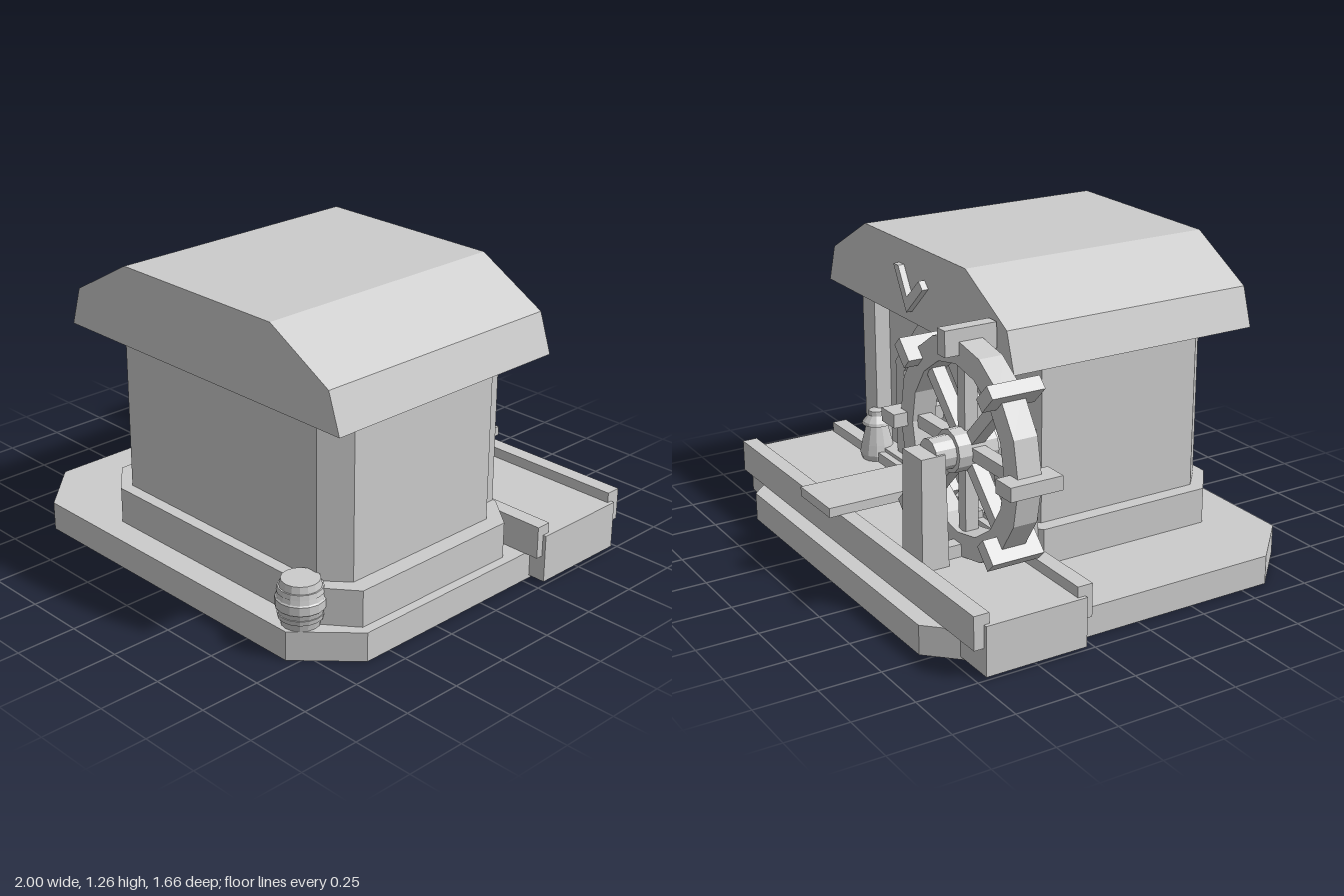
import * as THREE from 'three';

const stone = new THREE.MeshStandardMaterial({ color: 0xcccccc, flatShading: true });
stone.name = 'plain grey';

function add(parent, name, geometry, x = 0, y = 0, z = 0) {
  const mesh = new THREE.Mesh(geometry, stone);
  mesh.name = name;
  mesh.position.set(x, y, z);
  parent.add(mesh);
  return mesh;
}

// Box given by its limits on each axis
function block(parent, name, x0, x1, y0, y1, z0, z1) {
  return add(parent, name, new THREE.BoxGeometry(x1 - x0, y1 - y0, z1 - z0),
    (x0 + x1) / 2, (y0 + y1) / 2, (z0 + z1) / 2);
}

function shapeOf(points) {
  return new THREE.Shape(points.map(([x, y]) => new THREE.Vector2(x, y)));
}

// Outline in x and y, extruded from z0 to z1
function extrude(shape, z0, z1) {
  const g = new THREE.ExtrudeGeometry(shape, { depth: z1 - z0, bevelEnabled: false });
  return g.translate(0, 0, z0);
}

// Rectangle with cut corners, for a plan that is later laid flat
function cutRectangle([x0, x1], [z0, z1], cx, czBack, czFront) {
  return shapeOf([
    [x0 + cx, -z1], [x1 - cx, -z1], [x1, -z1 + czFront], [x1, -z0 - czBack],
    [x1 - cx, -z0], [x0 + cx, -z0], [x0, -z0 - czBack], [x0, -z1 + czFront],
  ]);
}

// Upright prism standing on a plan
function prism(parent, name, plan, y0, y1) {
  return add(parent, name, extrude(plan, y0, y1).rotateX(-Math.PI / 2));
}

function lathe(points, sides) {
  return new THREE.LatheGeometry(points.map(([r, y]) => new THREE.Vector2(r, y)), sides);
}

// Post that narrows slightly towards its top
function taperedPost(parent, name, x, z, w, d, y0, y1) {
  const g = new THREE.BoxGeometry(w, y1 - y0, d);
  const p = g.attributes.position;
  for (let i = 0; i < p.count; i++) {
    if (p.getY(i) > 0) p.setXYZ(i, p.getX(i) * 0.92, p.getY(i), p.getZ(i) * 0.88);
  }
  return add(parent, name, g, x, (y0 + y1) / 2, z);
}

function buildHouse(root) {
  const house = new THREE.Group();
  house.name = 'house';
  root.add(house);

  // Hollow base, open underneath
  const basePlan = cutRectangle([-0.92, 0.92], [-0.825, 0.825], 0.21, 0.21, 0.21);
  prism(house, 'baseTop', basePlan, 0.115, 0.12);
  const skirtPlan = basePlan.clone();
  skirtPlan.holes.push(cutRectangle([-0.916, 0.916], [-0.821, 0.821], 0.208, 0.208, 0.208));
  prism(house, 'baseSkirt', skirtPlan, 0, 0.115);

  prism(house, 'plinth', cutRectangle([-0.53, 0.88], [-0.29, 0.72], 0.15, 0.12, 0.12), 0.12, 0.27);
  prism(house, 'walls', cutRectangle([-0.47, 0.81], [-0.215, 0.67], 0.1, 0.07, 0.09), 0.27, 0.94);
  const roof = shapeOf([[-0.575, 0.94], [0.925, 0.94], [0.872, 1.098], [0.58, 1.262], [-0.23, 1.262], [-0.525, 1.098]]);
  add(house, 'roof', extrude(roof, -0.335, 0.768));

  // Corner posts on the back wall, mirrored about the door
  for (const s of [-1, 1]) {
    const x = 0.17 + s * 0.495;
    block(house, 'cornerPost', x - 0.053, x + 0.053, 0.27, 0.94, -0.285, -0.2);
  }

  // Angled door frame
  const frame = shapeOf([[-0.15, 0.2], [0.49, 0.2], [0.49, 0.68], [0.28, 0.9], [0.06, 0.9], [-0.15, 0.68]]);
  frame.holes.push(shapeOf([[-0.08, 0.21], [-0.08, 0.65], [0.08, 0.82], [0.26, 0.82], [0.42, 0.65], [0.42, 0.21]]));
  add(house, 'doorFrame', extrude(frame, -0.255, -0.2));
  block(house, 'door', -0.08, 0.42, 0.21, 0.64, -0.235, -0.2);
  block(house, 'doorBoard', 0.25, 0.34, 0.27, 0.58, -0.285, -0.23);
  block(house, 'doorBox', 0.1, 0.18, 0.39, 0.51, -0.295, -0.23);
  block(house, 'doorPlaque', 0.1, 0.24, 0.75, 0.86, -0.312, -0.25);

  // Two crossed slats on the gable
  const slats = shapeOf([[0.29, 1.165], [0.25, 1.165], [0.185, 1.05], [0.085, 1.14], [0.055, 1.11], [0.19, 0.985]]);
  add(house, 'gableSlats', extrude(slats, -0.362, -0.33));
}

function buildDock(root) {
  const dock = new THREE.Group();
  dock.name = 'dock';
  root.add(dock);
  block(dock, 'channel', -1, 0.995, 0.012, 0.212, -0.715, -0.287);
  for (const z of [-0.288, -0.725]) {
    block(dock, 'channelRail', -0.985, 0.98, 0.12, 0.255, z - 0.032, z + 0.032);
  }
  block(dock, 'plank', 0.04, 0.3, 0.253, 0.293, -0.803, -0.29);
  block(dock, 'lowCrate', -0.275, -0.18, 0.21, 0.285, -0.375, -0.29);
}

function buildWheel(root) {
  const wheel = new THREE.Group();
  wheel.name = 'waterWheel';
  wheel.position.set(-0.435, 0.64, -0.45);
  root.add(wheel);

  const ring = new THREE.Shape();
  const hole = new THREE.Path();
  for (let i = 0; i < 16; i++) {
    const a = (i / 16) * Math.PI * 2;
    const step = i ? 'lineTo' : 'moveTo';
    ring[step](0.433 * Math.cos(a), 0.433 * Math.sin(a));
    hole[step](0.336 * Math.cos(a), 0.336 * Math.sin(a));
  }
  ring.holes.push(hole);
  add(wheel, 'rim', extrude(ring, -0.05, 0.05));

  for (let i = 0; i < 8; i++) {
    const arm = new THREE.Group();
    arm.name = 'arm';
    arm.rotation.z = (i * Math.PI) / 4;
    wheel.add(arm);
    block(arm, 'spoke', 0.05, 0.36, -0.026, 0.026, -0.028, 0.028);
    block(arm, 'paddle', 0.376, 0.478, -0.028, 0.028, -0.11, 0.11);
  }
  const hub = new THREE.CylinderGeometry(0.085, 0.085, 0.17, 12).rotateX(Math.PI / 2);
  add(wheel, 'hub', hub);
  const axle = new THREE.CylinderGeometry(0.066, 0.066, 0.36, 12).rotateX(Math.PI / 2);
  add(wheel, 'axle', axle, 0, 0, 0.01);

  taperedPost(root, 'outerSupport', -0.435, -0.638, 0.155, 0.115, 0.2, 0.66);
  taperedPost(root, 'innerSupport', -0.435, -0.24, 0.155, 0.11, 0.2, 0.68);
}

function buildProps(root) {
  // Barrel with raised hoops
  const barrel = [[0, 0], [0.074, 0], [0.08, 0.03], [0.086, 0.03], [0.09, 0.05], [0.086, 0.05],
    [0.091, 0.07], [0.096, 0.075], [0.096, 0.11], [0.091, 0.115], [0.086, 0.135], [0.09, 0.135],
    [0.086, 0.155], [0.08, 0.155], [0.074, 0.183], [0, 0.183]];
  add(root, 'barrel', lathe(barrel, 16), 0.695, 0.12, 0.735);

  // Lidded jar beside the door
  const jar = [[0, 0], [0.068, 0], [0.075, 0.025], [0.066, 0.07], [0.046, 0.15], [0.064, 0.155],
    [0.06, 0.168], [0.036, 0.195], [0.034, 0.215], [0, 0.222]];
  add(root, 'jar', lathe(jar, 12), 0.61, 0.212, -0.29);
}

export function createModel() {
  const root = new THREE.Group();
  root.name = 'waterMill';
  buildHouse(root);
  buildDock(root);
  buildWheel(root);
  buildProps(root);
  return root;
}
